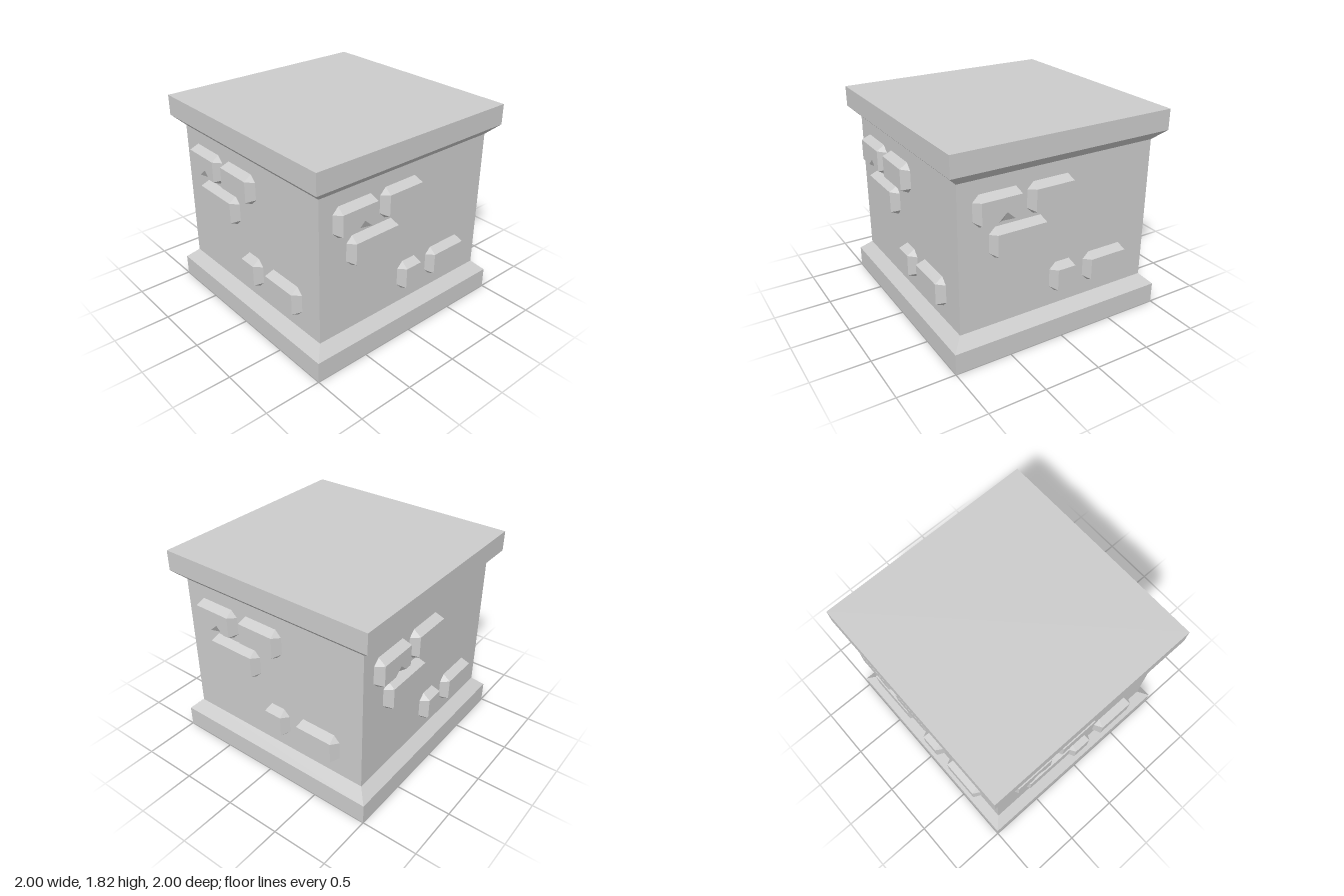
import * as THREE from 'three';

const WALL = 0.907, FRONT = 0.982, INSET = 0.04, CUT = 0.055;

const stone = new THREE.MeshStandardMaterial({ color: 0xcccccc, flatShading: true });
stone.name = 'grey stone';

// Square section swept from a [half width, height] profile
function squareLathe(name, profile) {
  const pts = profile.map(([h, y]) => new THREE.Vector2(h * Math.SQRT2, y));
  const geo = new THREE.LatheGeometry(pts, 4, Math.PI / 4).toNonIndexed();
  geo.computeVertexNormals();
  const mesh = new THREE.Mesh(geo, stone);
  mesh.name = name;
  return mesh;
}

// Chamfered brick on the front wall; chipX puts a chip in its lower edge
function brickGeometry(x0, x1, y0, y1, chipX) {
  const pos = [];
  const fan = (...p) => {
    for (let i = 1; i < p.length - 1; i++) pos.push(...p[0], ...p[i], ...p[i + 1]);
  };
  const f = (x, y) => [x, y, FRONT];
  const w = (x, y) => [x, y, WALL];
  const bl = f(x0 + INSET, y0 + INSET), br = f(x1 - INSET, y0 + INSET);
  const tr = f(x1 - INSET, y1 - INSET), tl = f(x0 + INSET, y1 - INSET);
  // outline at the wall, with cut corners
  const bottomL = w(x0 + CUT, y0), bottomR = w(x1 - CUT, y0);
  const rightB = w(x1, y0 + CUT), rightT = w(x1, y1 - CUT);
  const topR = w(x1 - CUT, y1), topL = w(x0 + CUT, y1);
  const leftT = w(x0, y1 - CUT), leftB = w(x0, y0 + CUT);

  // side, top and corner facets
  fan(br, rightB, rightT, tr);
  fan(tr, topR, topL, tl);
  fan(tl, leftT, leftB, bl);
  fan(bl, leftB, bottomL);
  fan(br, bottomR, rightB);
  fan(tr, rightT, topR);
  fan(tl, topL, leftT);

  if (chipX === undefined) {
    fan(bl, br, tr, tl);
    fan(bl, bottomL, bottomR, br);
  } else {
    const y = y0 + INSET;
    const apex = f(chipX, y + 0.065), l = f(chipX - 0.07, y), r = f(chipX + 0.07, y);
    const deep = w(chipX, y0 + 0.003);
    fan(apex, r, br, tr, tl, bl, l);
    fan(l, bl, bottomL, deep);
    fan(r, deep, bottomR, br);
    fan(apex, l, deep);
    fan(apex, deep, r);
  }
  const geo = new THREE.BufferGeometry();
  geo.setAttribute('position', new THREE.Float32BufferAttribute(pos, 3));
  geo.computeVertexNormals();
  return geo;
}

export function createModel() {
  const model = new THREE.Group();
  model.name = 'stoneBlock';

  model.add(
    squareLathe('plinth', [[0, 0], [1, 0], [1, 0.185], [WALL, 0.275]]),
    squareLathe('walls', [[WALL, 0.275], [WALL, 1.55]]),
    squareLathe('cornice', [[WALL, 1.55], [1, 1.64], [1, 1.82], [0, 1.82]])
  );

  // Raised bricks: x0, x1, y0, y1, chip position
  const bricks = [
    [-0.78, -0.352, 1.167, 1.432, -0.525],
    [-0.305, 0.122, 1.167, 1.432],
    [-0.643, -0.125, 0.873, 1.138],
    [-0.076, 0.17, 0.4, 0.667],
    [0.262, 0.69, 0.4, 0.667],
  ].map((b) => brickGeometry(...b));

  // The same bricks on all four walls
  ['front', 'left', 'back', 'right'].forEach((side, i) => {
    const group = new THREE.Group();
    group.name = side + 'Bricks';
    group.rotation.y = (i * Math.PI) / 2;
    bricks.forEach((geo, k) => {
      const mesh = new THREE.Mesh(geo, stone);
      mesh.name = k === 0 ? 'chippedBrick' : 'brick' + (k + 1);
      group.add(mesh);
    });
    model.add(group);
  });
  return model;
}
